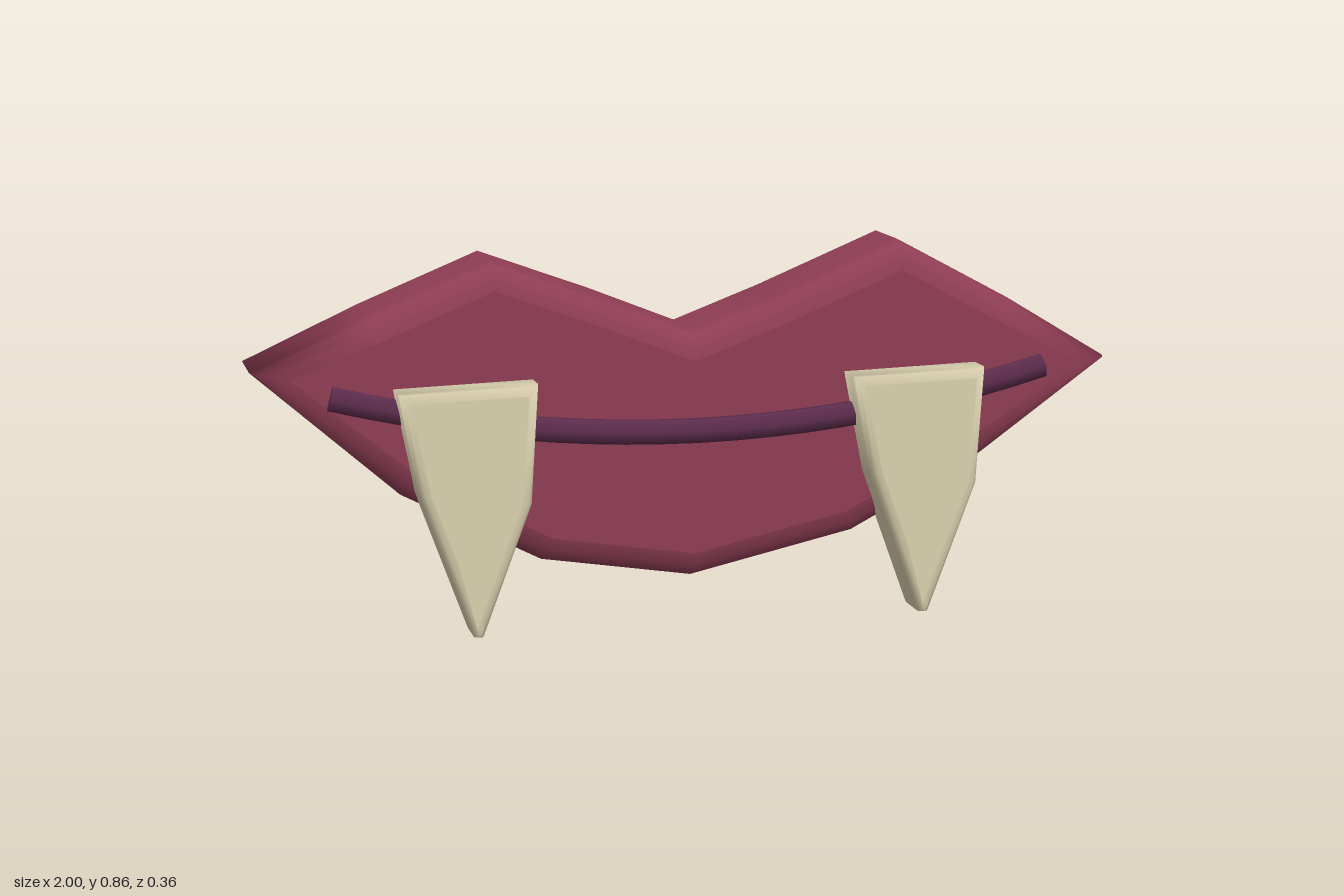
import * as THREE from 'three';
import { mergeVertices, mergeGeometries } from 'three/addons/utils/BufferGeometryUtils.js';

// Bevelled slab between two z planes: flat faces, smoothly shaded rim.
// The outline given is the widest outline; the bevel insets from it.
function slab(points, zBack, zFront, bevelSize, bevelThickness) {
  const shape = new THREE.Shape(points.map(([x, y]) => new THREE.Vector2(x, y)));
  const source = new THREE.ExtrudeGeometry(shape, {
    depth: zFront - zBack - 2 * bevelThickness,
    bevelEnabled: true, bevelSize, bevelThickness,
    bevelOffset: -bevelSize, bevelSegments: 3, curveSegments: 1,
  });
  source.translate(0, 0, zBack + bevelThickness);
  const positions = source.getAttribute('position').array;
  const pieces = source.groups.map(({ start, count }) => {
    const piece = new THREE.BufferGeometry();
    piece.setAttribute('position',
      new THREE.BufferAttribute(positions.slice(start * 3, (start + count) * 3), 3));
    const merged = mergeVertices(piece, 1e-4);
    merged.computeVertexNormals();
    return merged;
  });
  return mergeGeometries(pieces);
}

export function createModel() {
  const model = new THREE.Group();
  const lipRed = new THREE.MeshStandardMaterial({ color: 0x8e3d54 });
  lipRed.name = 'lipRed';
  const ivory = new THREE.MeshStandardMaterial({ color: 0xd9d0ae });
  ivory.name = 'ivory';
  const plum = new THREE.MeshStandardMaterial({ color: 0x5c2c4c });
  plum.name = 'plum';

  const add = (name, geometry, material) => {
    const mesh = new THREE.Mesh(geometry, material);
    mesh.name = name;
    model.add(mesh);
    return mesh;
  };

  // Lips: slightly uneven cupid's bow, counter-clockwise from the right corner
  add('lips', slab([
    [-1, 0.6], [-0.67, 0.31], [-0.35, 0.145], [0, 0.09], [0.38, 0.175], [0.66, 0.32],
    [1, 0.565], [0.76, 0.71], [0.49, 0.855], [0.2, 0.735], [0, 0.66], [-0.2, 0.74],
    [-0.46, 0.835], [-0.74, 0.72],
  ], -0.182, 0.095, 0.06, 0.055), lipRed);

  // Mouth line: shallow hexagonal tube, closed at both ends
  const curve = new THREE.QuadraticBezierCurve3(
    new THREE.Vector3(-0.83, 0.545, 0.09),
    new THREE.Vector3(0, 0.328, 0.115),
    new THREE.Vector3(0.83, 0.557, 0.09));
  add('mouthLine', new THREE.TubeGeometry(curve, 20, 0.031, 6), plum);
  for (const [name, t, sign] of [['mouthLineRightEnd', 0, -1], ['mouthLineLeftEnd', 1, 1]]) {
    const cap = add(name, new THREE.CircleGeometry(0.03, 6), plum);
    const p = curve.getPoint(t);
    cap.position.copy(p);
    cap.lookAt(p.clone().addScaledVector(curve.getTangent(t), sign));
  }

  // Fangs: two identical pointed slabs overlapping the front of the lips
  const fang = slab([
    [-0.17, 0.56], [-0.125, 0.33], [-0.005, 0], [0.015, 0], [0.128, 0.3], [0.145, 0.57],
  ], 0.04, 0.182, 0.024, 0.024);
  add('rightFang', fang, ivory).position.x = -0.52;
  add('leftFang', fang, ivory).position.x = 0.52;

  return model;
}
